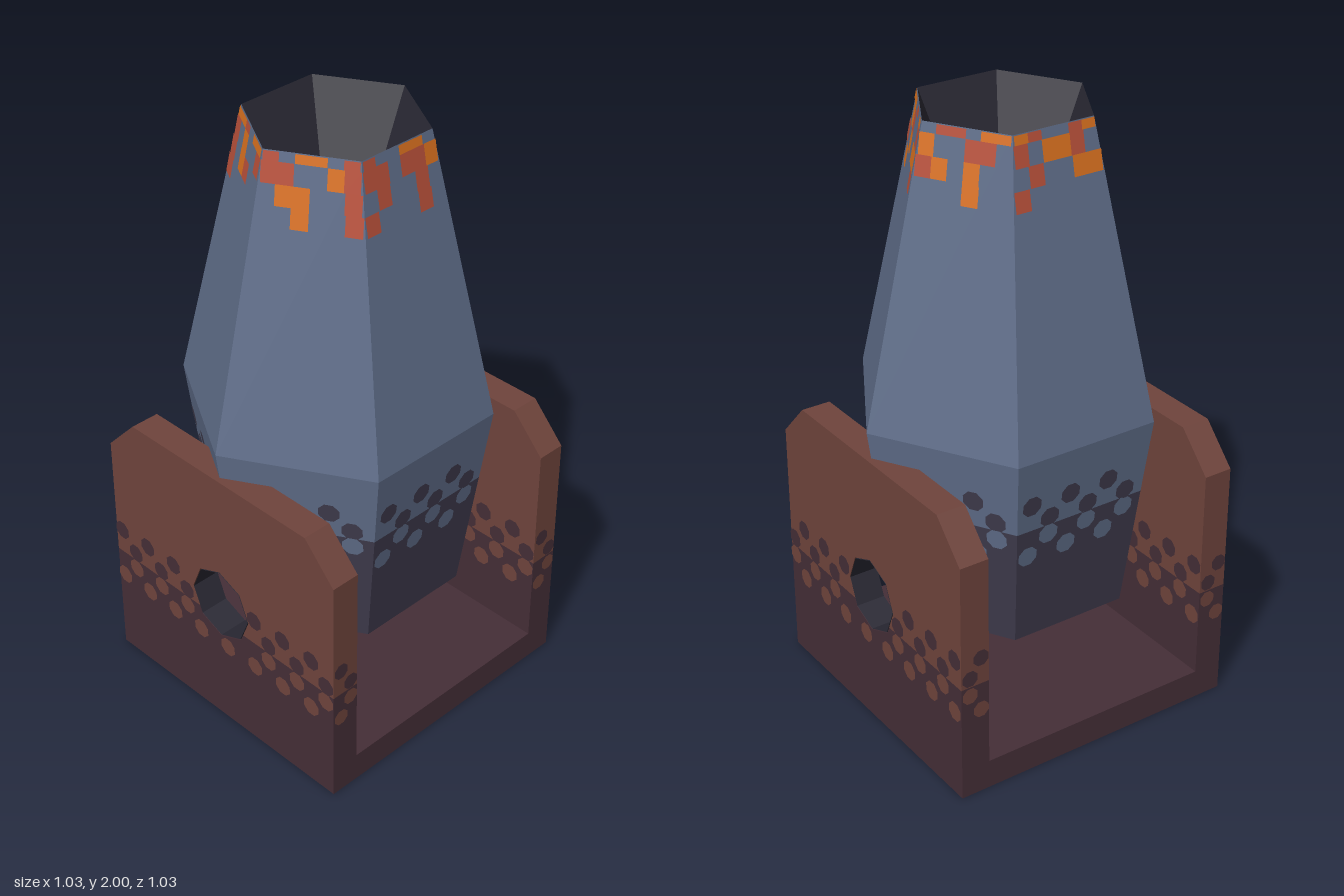
import * as THREE from 'three';
import { mergeGeometries } from 'three/addons/utils/BufferGeometryUtils.js';

const material = (name, color, side = THREE.FrontSide) => {
  const m = new THREE.MeshStandardMaterial({ color, side, flatShading: true });
  m.name = name;
  return m;
};

export function createModel() {
  const model = new THREE.Group();
  model.name = 'mortar';
  const brown = material('rust brown', 0x6f443c);
  const plum = material('dark plum', 0x452e37);
  const blue = material('steel blue', 0x5f6d89);
  const slate = material('dark slate', 0x3f3b4d);
  const dark = material('bore dark', 0x2a2934, THREE.DoubleSide);
  const orange = material('hot orange', 0xd8701f);
  const red = material('ember red', 0xb8503a);

  const add = (name, geometry, mat, y = 0) => {
    const mesh = new THREE.Mesh(geometry, mat);
    mesh.name = name;
    mesh.position.y = y;
    model.add(mesh);
    return mesh;
  };
  // Flat decal pieces gathered per name, merged at the end
  const decals = new Map();
  const decal = (name, mat, geometry) => {
    if (!decals.has(name)) decals.set(name, { mat, list: [] });
    decals.get(name).list.push(geometry);
  };
  const dot = (r) => new THREE.CircleGeometry(r, 8, Math.PI / 8);

  // Barrel: hexagonal sections with a corner toward the front
  const SPLIT = 0.798, BELLY = 1.05, TOP = 2;
  const radius = (y) => y < BELLY
    ? 0.41 + (0.095 * (y - 0.38)) / 0.67
    : 0.505 - (0.22 * (y - BELLY)) / 0.95;
  const section = (name, y0, y1, r0, r1, mat) =>
    add(name, new THREE.CylinderGeometry(r1, r0, y1 - y0, 6, 1, true), mat, (y0 + y1) / 2);
  section('barrelLower', 0.38, SPLIT, radius(0.38), radius(SPLIT), slate);
  section('barrelMiddle', SPLIT, BELLY, radius(SPLIT), radius(BELLY), blue);
  section('barrelUpper', BELLY, TOP, radius(BELLY), radius(TOP), blue);
  section('barrelTip', 0.2, 0.38, 0, 0.41, dark);
  section('bore', 1.3, TOP, 0, 0.285, dark);

  // Lay a flat piece on barrel facet i at height y, u along the facet
  const C30 = Math.cos(Math.PI / 6);
  const onFacet = (geometry, i, u, y) => {
    const slope = ((radius(y + 0.001) - radius(y - 0.001)) / 0.002) * C30;
    return geometry.rotateX(Math.atan(slope))
      .translate(u, y, radius(y) * C30 + 0.003)
      .rotateY(((i + 0.5) * Math.PI) / 3);
  };

  // Dotted fade between the two barrel colours
  const fadeRows = [0, 1, 1, 0];
  for (let i = 0; i < 6; i++) {
    fadeRows.forEach((shift, row) => {
      for (let k = 0; k < 3; k++) {
        const u = -0.19 + 0.1425 * k + 0.071 * shift;
        const g = onFacet(dot(0.036), i, u, 0.892 - 0.0625 * row);
        decal(row < 2 ? 'barrelSlateDots' : 'barrelBlueDots', row < 2 ? slate : blue, g);
      }
    });
  }

  // Scorched patches around the muzzle: o = orange, r = red
  const scorch = [
    ['r.oo.r', 'rr..or', '.oo..r', '..o..r'],
    ['r..oo.', 'rr.rro', '.r..r.', 'r...r.'],
    ['oo.r.o', '.or..r', 'r.o.oo', '.o...r'],
    ['.rr.oo', 'o..rr.', 'ro.o..', '...o..'],
    ['or..ro', 'r.oor.', '.r..oo', 'r.....'],
    ['oor.oo', 'r.o..r', 'r.or..', 'r.....'],
  ];
  const bands = [[1.97, 1.998], [1.905, 1.97], [1.842, 1.905], [1.78, 1.842]];
  scorch.forEach((rows, i) => rows.forEach((text, row) => {
    const [y0, y1] = bands[row];
    const y = (y0 + y1) / 2;
    const w = (radius(y) * 0.98) / 6;
    [...text].forEach((c, k) => {
      if (c === '.') return;
      const g = onFacet(new THREE.PlaneGeometry(w, (y1 - y0) * 1.02), i, (k - 2.5) * w, y);
      decal(c === 'o' ? 'orangeScorch' : 'redScorch', c === 'o' ? orange : red, g);
    });
  }));

  // Cradle: floor plus two cheek plates, each split by colour through the hole
  add('cradleFloor', new THREE.BoxGeometry(1.02, 0.1, 0.82), plum, 0.05);
  const plate = (points) => new THREE.ExtrudeGeometry(
    new THREE.Shape(points.map(([x, y]) => new THREE.Vector2(x, y))),
    { depth: 0.1, bevelEnabled: false });
  const MID = 0.405;
  const lower = [[-0.51, 0], [0.51, 0], [0.51, MID], [0.103, MID], [0.092, 0.378],
    [0, 0.34], [-0.092, 0.378], [-0.103, MID], [-0.51, MID]];
  const upper = [[0.51, MID], [0.51, 0.835], [0.39, 0.96], [-0.39, 0.96], [-0.51, 0.835],
    [-0.51, MID], [-0.103, MID], [-0.13, 0.47], [-0.092, 0.562], [0, 0.6],
    [0.092, 0.562], [0.13, 0.47], [0.103, MID]];
  for (const s of [1, -1]) {
    const side = s > 0 ? 'front' : 'back';
    const z0 = s > 0 ? 0.41 : -0.51;
    add(side + 'CheekLower', plate(lower).translate(0, 0, z0), plum);
    add(side + 'CheekUpper', plate(upper).translate(0, 0, z0), brown);
    add(side + 'HoleLining',
      new THREE.CylinderGeometry(0.127, 0.127, 0.1, 8, 1, true).rotateX(Math.PI / 2)
        .translate(0, 0, s * 0.46), dark, 0.47);

    // Dotted fade on the cheek faces and end edges
    fadeRows.forEach((shift, row) => {
      const y = 0.5 - 0.0625 * row;
      const put = (g) => decal(row < 2 ? 'cradlePlumDots' : 'cradleBrownDots',
        row < 2 ? plum : brown, g);
      for (let k = 0; k < 8; k++) {
        const x = -0.478 + 0.1275 * k + 0.064 * shift;
        if (Math.hypot(x, y - 0.47) < 0.145) continue;
        for (const [z, turn] of [[0.513, 0], [0.407, Math.PI]]) {
          put(dot(0.034).rotateY(turn + (s > 0 ? 0 : Math.PI)).translate(x, y, s * z));
        }
      }
      for (const e of [1, -1]) {
        put(dot(0.029).rotateY((e * Math.PI) / 2)
          .translate(e * 0.513, y, s * 0.46 + (shift ? -0.02 : 0.02)));
      }
    });
  }

  decals.forEach(({ mat, list }, name) => add(name, mergeGeometries(list), mat));
  return model;
}
